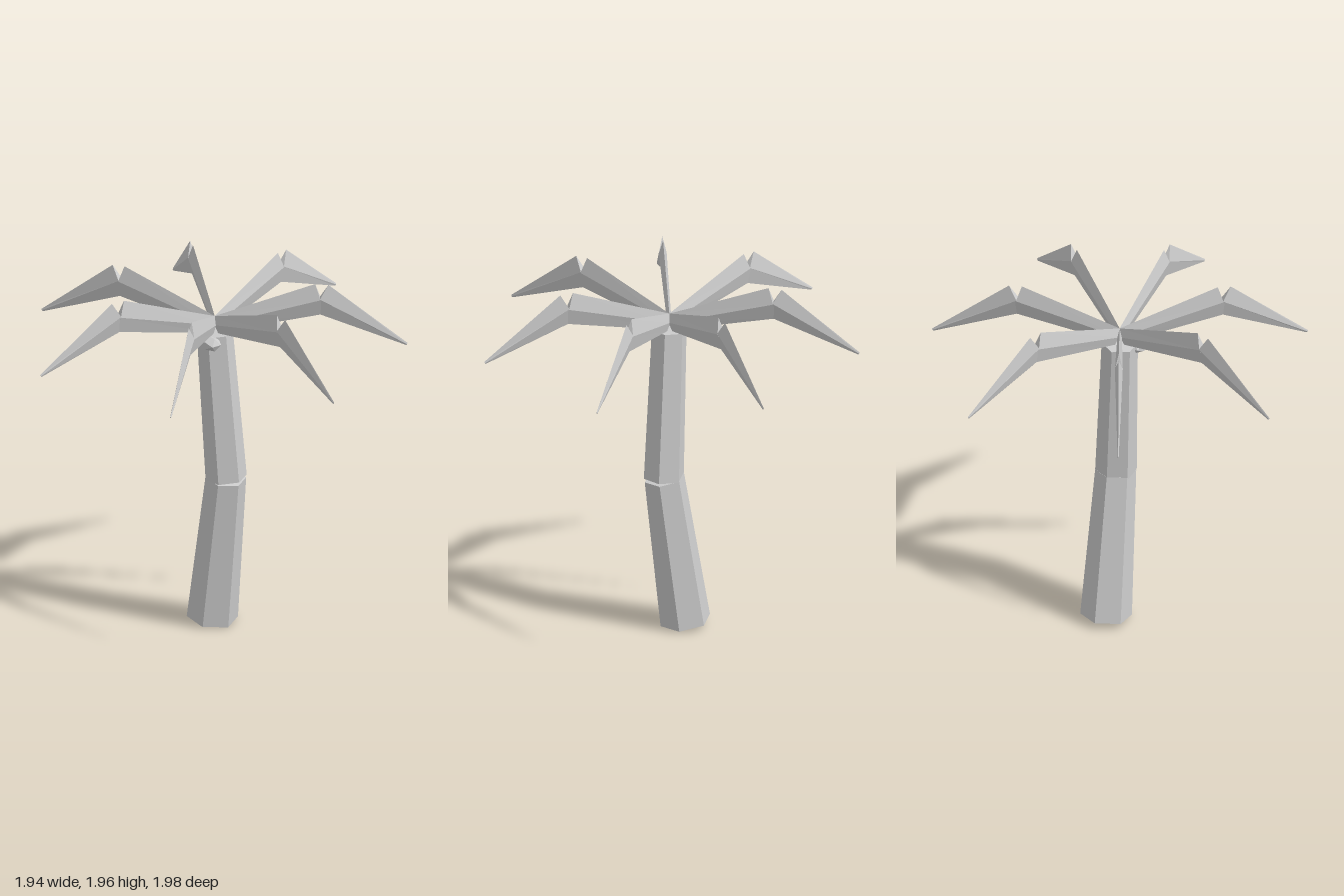
import * as THREE from 'three';

const grey = new THREE.MeshStandardMaterial({ color: 0xcccccc, flatShading: true });
grey.name = 'light grey';

// Six-sided tapered log between two points
function trunkSegment(name, from, to, rFrom, rTo) {
  const a = new THREE.Vector3(...from), b = new THREE.Vector3(...to);
  const axis = b.clone().sub(a);
  const geo = new THREE.CylinderGeometry(rTo, rFrom, axis.length(), 6, 1, false, Math.PI / 2);
  const mesh = new THREE.Mesh(geo, grey);
  mesh.name = name;
  mesh.position.copy(a).add(b).multiplyScalar(0.5);
  mesh.quaternion.setFromUnitVectors(new THREE.Vector3(0, 1, 0), axis.normalize());
  return mesh;
}

// Diamond cross-section in the frond's own plane: top point, bottom point, half width
function diamond([tx, ty], [bx, by], w) {
  const mx = (tx + bx) / 2, my = (ty + by) / 2;
  return [[tx, ty, 0], [mx, my, w], [bx, by, 0], [mx, my, -w]];
}

// Closed flat-sided solid between two diamonds
function diamondLoft(a, b) {
  const pos = [];
  const quad = (p, q, r, s) => pos.push(...p, ...q, ...r, ...p, ...r, ...s);
  for (let i = 0; i < 4; i++) {
    const j = (i + 1) % 4;
    quad(a[i], a[j], b[j], b[i]);
  }
  quad(a[3], a[2], a[1], a[0]);
  quad(b[0], b[1], b[2], b[3]);
  const geo = new THREE.BufferGeometry();
  geo.setAttribute('position', new THREE.Float32BufferAttribute(pos, 3));
  geo.computeVertexNormals();
  return geo;
}

export function createModel() {
  const model = new THREE.Group();
  model.name = 'palmTree';

  // Bent trunk in two logs
  model.add(
    trunkSegment('lowerTrunk', [-0.125, 0.02, -0.043], [-0.01, 0.857, -0.043], 0.137, 0.109),
    trunkSegment('upperTrunk', [-0.007, 0.858, -0.043], [-0.049, 1.69, 0], 0.11, 0.096),
  );

  // Seven fronds: a rising inner half and a drooping outer half, crossing at the elbow
  const inner = diamondLoft(
    diamond([0, 1.78], [0.03, 1.69], 0.012),
    diamond([0.53, 1.965], [0.585, 1.795], 0.021));
  const outer = diamondLoft(
    diamond([0.6, 1.96], [0.51, 1.808], 0.021),
    diamond([1.018, 1.628], [1.01, 1.616], 0.003));
  const fronds = new THREE.Group();
  fronds.name = 'fronds';
  fronds.position.x = -0.05;
  for (let i = 0; i < 7; i++) {
    const frond = new THREE.Group();
    frond.name = 'frond' + (i + 1);
    const innerHalf = new THREE.Mesh(inner, grey);
    innerHalf.name = 'innerFrond';
    const outerHalf = new THREE.Mesh(outer, grey);
    outerHalf.name = 'outerFrond';
    frond.add(innerHalf, outerHalf);
    frond.rotation.y = (i * Math.PI * 2) / 7;
    fronds.add(frond);
  }
  model.add(fronds);

  // Coconut under the crown
  const coconut = new THREE.Mesh(new THREE.IcosahedronGeometry(0.055, 0), grey);
  coconut.name = 'coconut';
  coconut.position.set(0.01, 1.66, 0.07);
  coconut.scale.set(1, 0.75, 1);
  model.add(coconut);

  return model;
}
